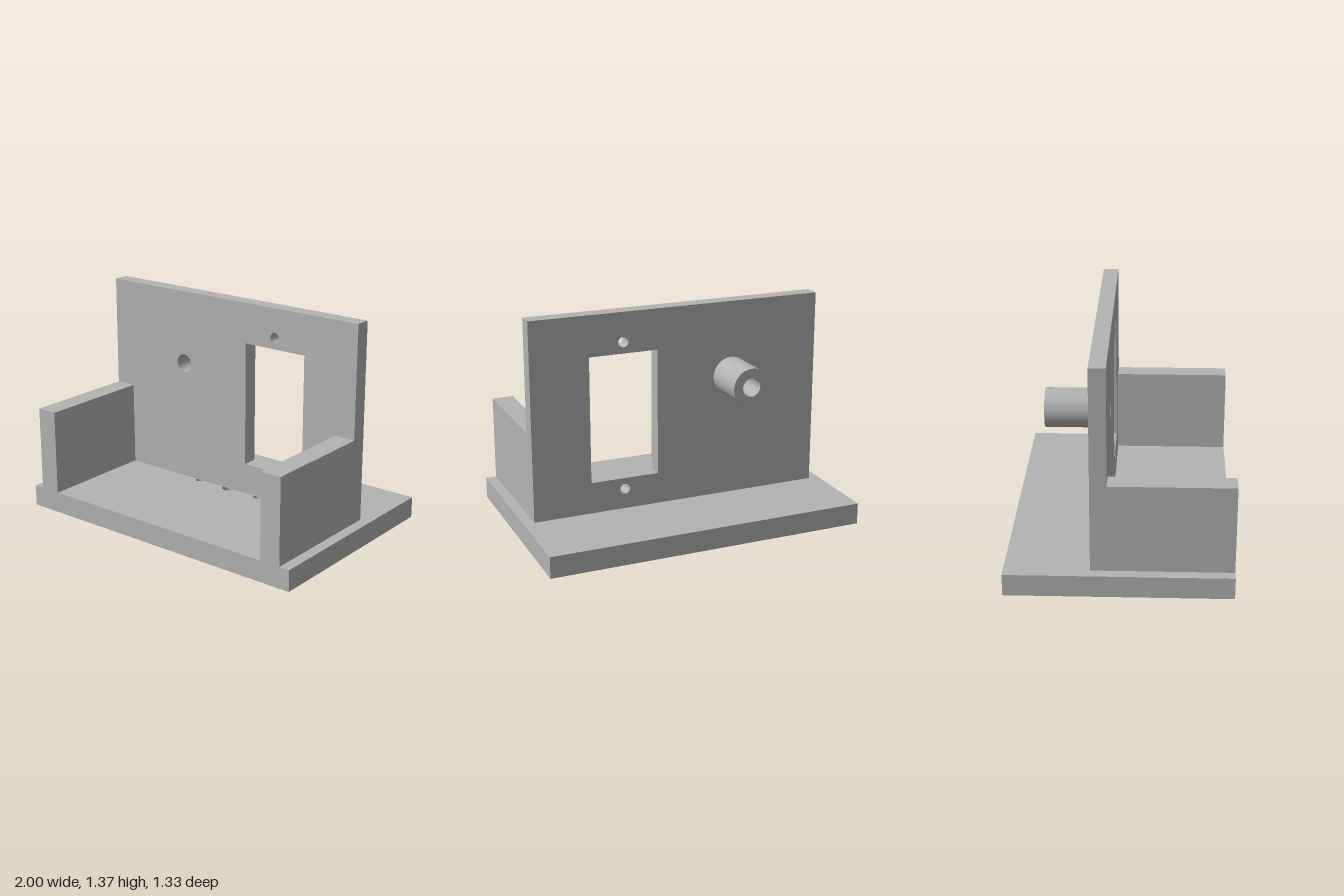
import * as THREE from 'three';
import { toCreasedNormals } from 'three/addons/utils/BufferGeometryUtils.js';

const grey = new THREE.MeshStandardMaterial({ color: 0xb3b3b3 });
grey.name = 'plain grey';

// Main dimensions
const baseTop = 0.133, halfDepth = 0.665;
const wallFront = -0.067, wallBack = -0.165, wallHalf = 0.933, wallTop = 1.37;
const boss = { x: -0.356, y: 0.902, bore: 0.057, radius: 0.117, end: -0.45 };

function rect(path, x0, y0, x1, y1) {
  path.moveTo(x0, y0);
  path.lineTo(x1, y0);
  path.lineTo(x1, y1);
  path.lineTo(x0, y1);
  path.closePath();
  return path;
}

function circle(path, x, y, r) {
  path.absarc(x, y, r, 0, Math.PI * 2, false);
  return path;
}

// Plate with holes, smooth inside bores and sharp at edges
function extrude(shape, holes, depth) {
  shape.holes.push(...holes);
  const g = new THREE.ExtrudeGeometry(shape, { depth, bevelEnabled: false, curveSegments: 40 });
  return toCreasedNormals(g, 0.6);
}

export function createModel() {
  const model = new THREE.Group();
  model.name = 'mountingBracket';
  const add = (name, geometry) => {
    const mesh = new THREE.Mesh(geometry, grey);
    mesh.name = name;
    model.add(mesh);
    return mesh;
  };

  // Base plate with three holes along the foot of the wall
  const baseHoles = [[-0.233, 0.027], [0, 0.04], [0.233, 0.027]]
    .map(([x, r]) => circle(new THREE.Path(), x, -wallFront, r));
  const base = extrude(rect(new THREE.Shape(), -1, -halfDepth, 1, halfDepth), baseHoles, baseTop);
  add('basePlate', base.rotateX(-Math.PI / 2));

  // Upright wall with window, two screw holes and the bore
  const wall = extrude(rect(new THREE.Shape(), -wallHalf, baseTop, wallHalf, wallTop), [
    rect(new THREE.Path(), 0.133, 0.33, 0.567, 1.117),
    circle(new THREE.Path(), 0.35, 1.187, 0.032),
    circle(new THREE.Path(), 0.35, 0.26, 0.032),
    circle(new THREE.Path(), boss.x, boss.y, boss.bore),
  ], wallFront - wallBack);
  add('uprightWall', wall).position.z = wallBack;

  // Hollow boss on the back of the wall
  const tube = extrude(circle(new THREE.Shape(), boss.x, boss.y, boss.radius),
    [circle(new THREE.Path(), boss.x, boss.y, boss.bore)], wallBack - boss.end);
  add('rearBoss', tube).position.z = boss.end;

  // Side cheeks
  const cheekTop = 0.668, cheekInner = 0.8;
  for (const [name, side] of [['leftCheek', 1], ['rightCheek', -1]]) {
    const cheek = new THREE.BoxGeometry(wallHalf - cheekInner, cheekTop - baseTop, halfDepth - wallFront);
    add(name, cheek).position.set(
      side * (wallHalf + cheekInner) / 2, (cheekTop + baseTop) / 2, (halfDepth + wallFront) / 2);
  }
  return model;
}
